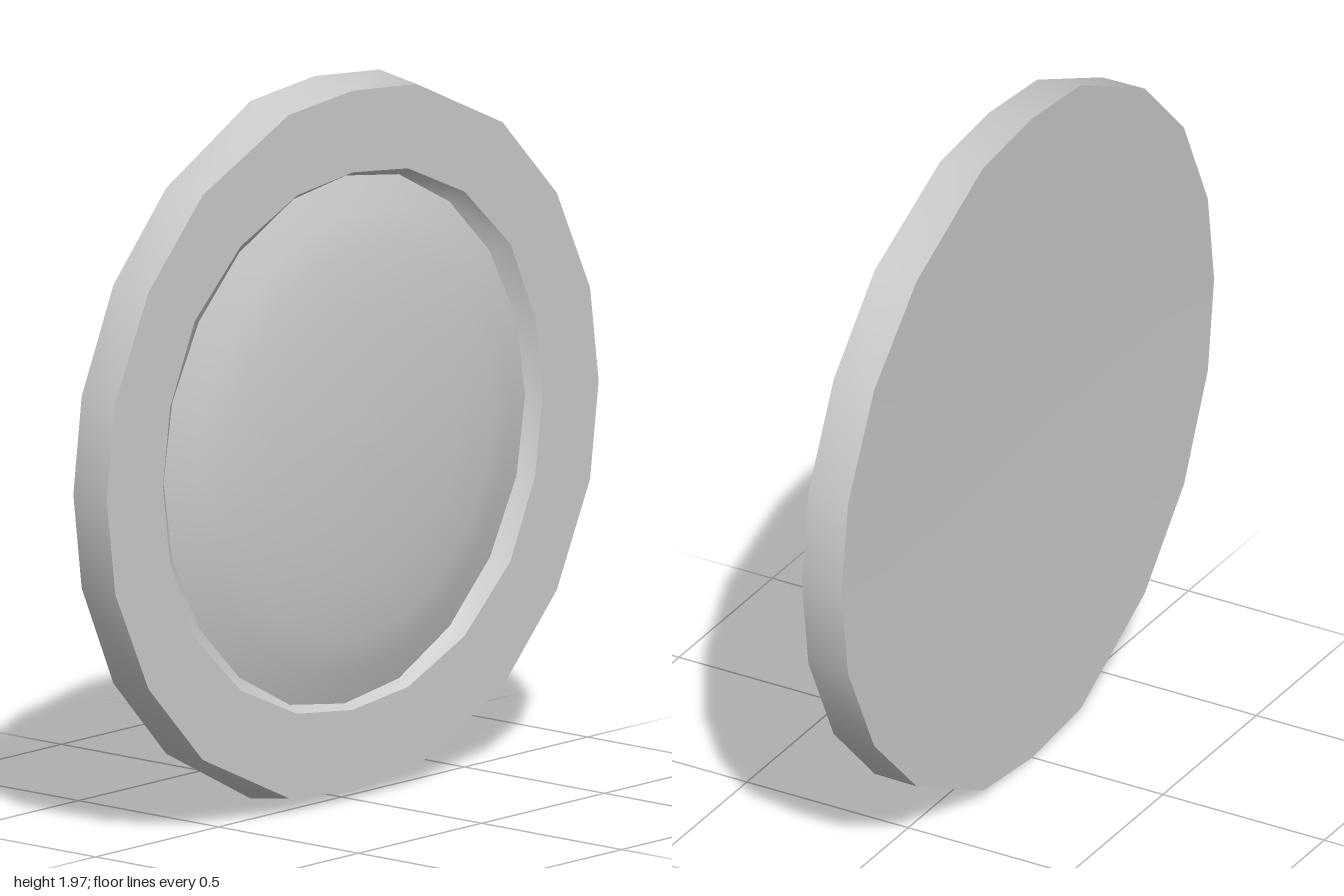
import * as THREE from 'three';

const CENTRE_Y = 0.985;

// Quarter outlines, from the side (+x) up to the top (+y)
const RIM_FRONT = [[1, 0], [0.965, 0.263], [0.83, 0.545], [0.61, 0.775], [0.26, 0.938], [0, 0.962]];
const RIM_BACK = [[0.998, 0], [0.963, 0.263], [0.83, 0.547], [0.61, 0.777], [0.262, 0.958], [0, 0.983]];
const RECESS = [[0.772, 0], [0.742, 0.215], [0.642, 0.435], [0.455, 0.61], [0.225, 0.712], [0, 0.738]];
const DOME = [[0.735, 0], [0.7, 0.215], [0.592, 0.42], [0.428, 0.583], [0.222, 0.692], [0, 0.725]];

// Mirror a quarter outline into a closed anticlockwise ring; z may depend on x and y
function ring(quarter, z, scale = 1) {
  const back = quarter.slice(1, -1).reverse();
  const loop = [
    ...quarter,
    ...back.map(([x, y]) => [-x, y]),
    ...quarter.slice(0, -1).map(([x, y]) => [-x, -y]),
    [0, -quarter[quarter.length - 1][1]],
    ...back.map(([x, y]) => [x, -y]),
  ];
  // The third quadrant runs from -x down to -y
  return loop.map(([x, y]) => {
    const px = x * scale, py = y * scale;
    return [px, py, typeof z === 'function' ? z(px, py) : z];
  });
}

// Smooth skin through successive rings
function loft(name, rings) {
  const n = rings[0].length;
  const index = [];
  for (let r = 0; r < rings.length - 1; r++) {
    for (let i = 0; i < n; i++) {
      const a = r * n + i, b = r * n + (i + 1) % n;
      index.push(a, b, b + n, a, b + n, a + n);
    }
  }
  const geometry = new THREE.BufferGeometry();
  geometry.setAttribute('position', new THREE.Float32BufferAttribute(rings.flat(2), 3));
  geometry.setIndex(index);
  geometry.computeVertexNormals();
  const mesh = new THREE.Mesh(geometry, new THREE.MeshStandardMaterial({ color: 0xcccccc }));
  mesh.name = name;
  return mesh;
}

export function createModel() {
  const group = new THREE.Group();
  group.name = 'domedDisc';

  const backZ = (x, y) => -0.081 - 0.015 * y * y;
  const front = 0.04;

  // Outer edge and flat front rim
  group.add(loft('outerEdge', [ring(RIM_BACK, backZ), ring(RIM_FRONT, front)]));
  group.add(loft('frontRim', [ring(RIM_FRONT, front), ring(RECESS, front)]));

  // Sloping wall sinking to the foot of the dome
  group.add(loft('recessWall', [ring(RECESS, front), ring(DOME, 0.01)]));

  // Bulging centre
  const domeProfile = [[1, 0.01], [0.87, 0.042], [0.74, 0.068], [0.52, 0.085], [0.28, 0.096], [0.001, 0.098]];
  group.add(loft('dome', domeProfile.map(([s, z]) => ring(DOME, z, s))));

  // Slightly bowed back
  group.add(loft('backFace', [0.001, 0.25, 0.5, 0.75, 1].map((s) => ring(RIM_BACK, backZ, s))));

  group.position.y = CENTRE_Y;
  const root = new THREE.Group();
  root.add(group);
  return root;
}
